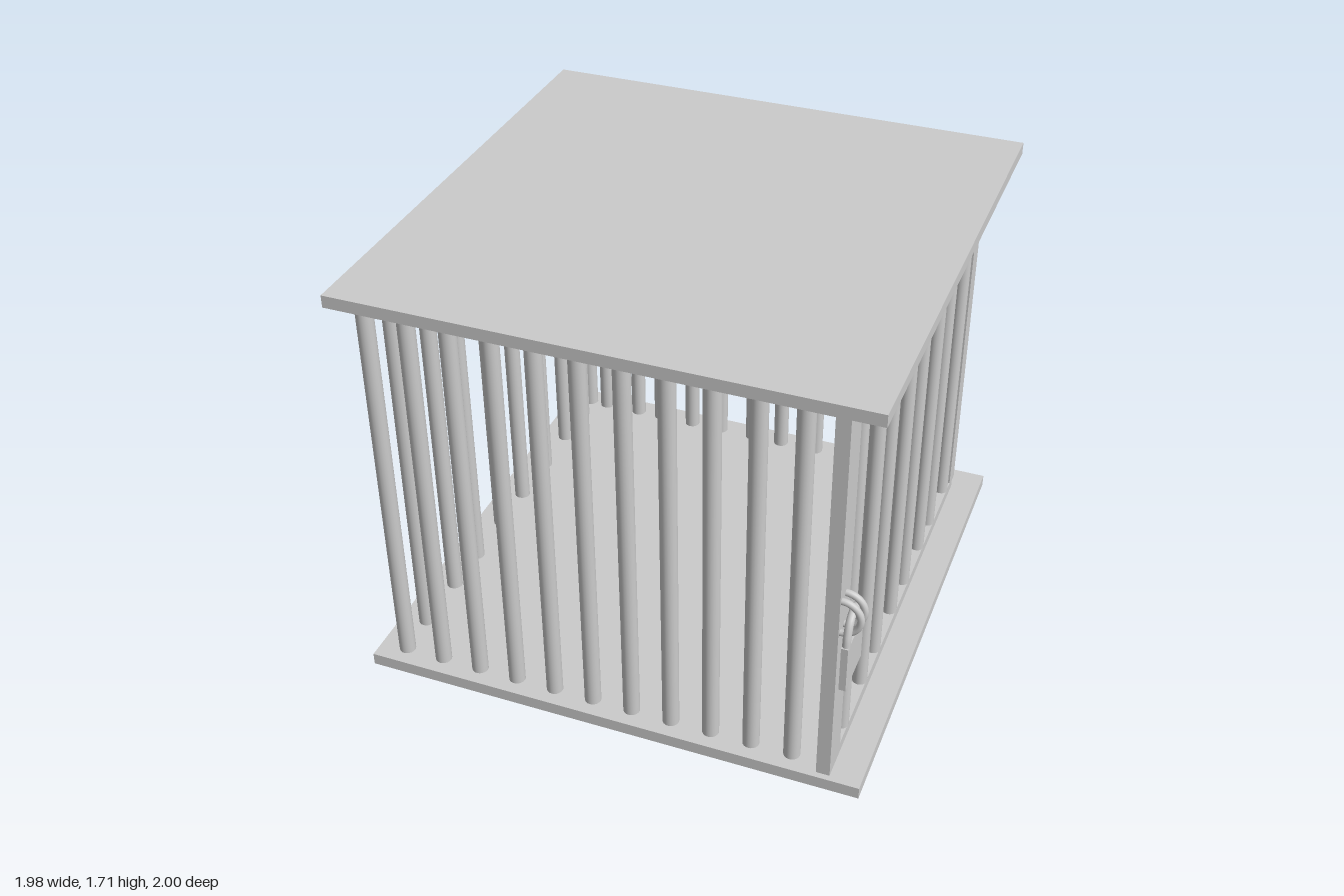
import * as THREE from 'three';

const material = new THREE.MeshStandardMaterial({ color: 0xcccccc });

export function createModel() {
  const model = new THREE.Group();
  model.name = 'cage';

  const add = (parent, name, geometry, x = 0, y = 0, z = 0) => {
    const mesh = new THREE.Mesh(geometry, material);
    mesh.name = name;
    mesh.position.set(x, y, z);
    parent.add(mesh);
    return mesh;
  };
  // Box given by its limits on each axis
  const box = (parent, name, [x0, x1], [y0, y1], [z0, z1]) =>
    add(parent, name, new THREE.BoxGeometry(x1 - x0, y1 - y0, z1 - z0),
      (x0 + x1) / 2, (y0 + y1) / 2, (z0 + z1) / 2);
  // Upright round bar
  const bar = (parent, name, x, z, y0 = 0.05, y1 = 1.65, r = 0.032) =>
    add(parent, name, new THREE.CylinderGeometry(r, r, y1 - y0, 20), x, (y0 + y1) / 2, z);
  const group = (name) => {
    const g = new THREE.Group();
    g.name = name;
    model.add(g);
    return g;
  };

  // Floor and roof slabs
  box(model, 'floor', [-0.99, 0.99], [0.012, 0.062], [-1, 0.98]);
  box(model, 'roof', [-0.99, 0.99], [1.657, 1.705], [-1, 0.98]);

  // Fixed walls of bars
  const frontWall = group('frontWall');
  for (let i = 0; i < 11; i++) bar(frontWall, 'frontBar', -0.88 + i * 0.159, 0.9);

  const backWall = group('backWall');
  [-0.89, -0.805, -0.645, -0.53, -0.375, -0.235, -0.077, 0.06, 0.225, 0.375, 0.535, 0.71]
    .forEach((x) => bar(backWall, 'backBar', x, -0.925));

  const sideWall = group('rightWall');
  [-0.81, -0.615, -0.39, -0.155, 0.055, 0.29, 0.49, 0.73]
    .forEach((z) => bar(sideWall, 'sideBar', -0.885, z));

  // Door on the left side, with its frame, bars and hinge post
  const door = group('door');
  const dx = [0.82, 0.872];
  box(door, 'latchPost', dx, [0.01, 1.657], [0.832, 0.957]);
  box(door, 'bottomRail', dx, [0, 0.11], [-0.88, 0.89]);
  box(door, 'topRail', dx, [1.588, 1.652], [-0.88, 0.89]);
  box(door, 'hingeStile', dx, [0.11, 1.588], [-0.9, -0.832]);
  box(door, 'hingePost', [0.81, 0.865], [0.062, 1.657], [-0.955, -0.882]);
  [0.735, 0.49, 0.305, 0.065, -0.125, -0.36, -0.535, -0.775]
    .forEach((z) => bar(door, 'doorBar', 0.846, z, 0.1, 1.6, 0.029));

  // Padlock hanging from two half-ring staples
  const lock = group('padlock');
  for (const z of [0.887, 0.935]) {
    const staple = add(lock, 'staple', new THREE.TorusGeometry(0.07, 0.013, 12, 24, Math.PI), 0.872, 0.812, z);
    staple.rotation.z = -Math.PI / 2;
  }
  box(lock, 'lockBody', [0.895, 0.92], [0.54, 0.73], [0.81, 1.0]);
  const arch = new THREE.CatmullRomCurve3(
    [[-0.077, 0.72], [-0.07, 0.765], [-0.045, 0.815], [0, 0.833], [0.045, 0.815], [0.07, 0.765], [0.077, 0.72]]
      .map(([z, y]) => new THREE.Vector3(0.908, y, 0.905 + z)));
  add(lock, 'shackle', new THREE.TubeGeometry(arch, 32, 0.015, 12));

  return model;
}
